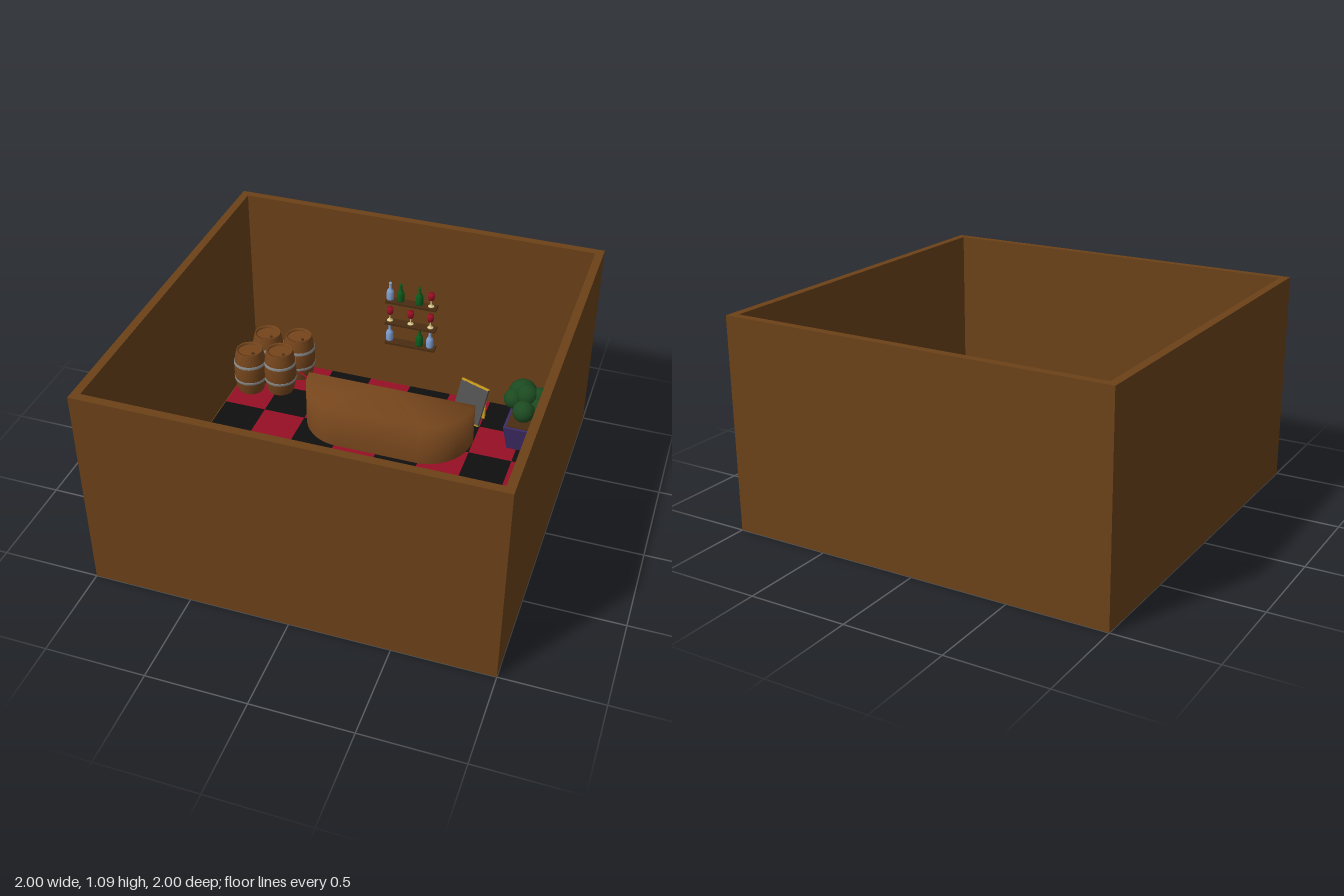
import * as THREE from 'three';

const mat = (color, extra = {}) => new THREE.MeshStandardMaterial({ color, ...extra });
const wood = mat(0x6b4118), darkWood = mat(0x4a2d12), barrelWood = mat(0x75451c), steel = mat(0x8c8c8c);
const red = mat(0x960f24), black = mat(0x0f0f0f), green = mat(0x0c5a1c), blue = mat(0x7f9fd0);
const cream = mat(0xe0cf90), gold = mat(0xc99a1c), leaf = mat(0x1c4a20), purple = mat(0x3c2c66), slate = mat(0x4c4c4c);
const FLOOR = 0.02;

function add(parent, name, geometry, material, x = 0, y = 0, z = 0) {
  const mesh = new THREE.Mesh(geometry, material);
  mesh.name = name;
  mesh.position.set(x, y, z);
  parent.add(mesh);
  return mesh;
}
function group(parent, name, x = 0, y = 0, z = 0) {
  const g = new THREE.Group();
  g.name = name;
  g.position.set(x, y, z);
  parent.add(g);
  return g;
}
const box = (w, h, d) => new THREE.BoxGeometry(w, h, d);
const lathe = (pts, n = 16) => new THREE.LatheGeometry(pts.map(p => new THREE.Vector2(...p)), n);

function buildRoom(parent) {
  const room = group(parent, 'room');
  add(room, 'floorBase', box(2, 0.014, 2), wood, 0, 0.007, 0);
  for (const s of [-1, 1]) {
    add(room, 'sideWall', box(0.042, 1.085, 2), wood, s * 0.979, 0.5425, 0);
    add(room, 'endWall', box(1.916, 1.085, 0.042), wood, 0, 0.5425, s * 0.979);
  }
  // Checkered floor, 8 by 8
  const t = 0.2375, tile = box(t, 0.006, t);
  for (let r = 0; r < 8; r++) for (let c = 0; c < 8; c++) {
    add(room, 'floorTile', tile, (r + c) % 2 ? red : black, (c - 3.5) * t, 0.017, (r - 3.5) * t);
  }
}

function buildBarrel(parent, x, z) {
  const barrel = group(parent, 'barrel', x, FLOOR, z);
  const h = 0.265, radius = y => 0.074 + 0.018 * (1 - (2 * y / h - 1) ** 2);
  const staves = [];
  for (let i = 0; i <= 8; i++) staves.push([radius(h * i / 8), h * i / 8]);
  add(barrel, 'staves', lathe(staves, 20), barrelWood);
  // Raised rim around a sunken lid
  add(barrel, 'rim', lathe([[0.074, h], [0.064, h], [0.064, h - 0.014]], 20), barrelWood);
  add(barrel, 'lid', new THREE.CylinderGeometry(0.066, 0.066, 0.006, 20), barrelWood, 0, h - 0.016, 0);
  add(barrel, 'bung', new THREE.CylinderGeometry(0.008, 0.008, 0.008, 10), darkWood, 0.03, h - 0.011, 0.02);
  for (const y of [0.075, 0.18]) {
    const a = radius(y) + 0.003, b = radius(y + 0.016) + 0.003;
    add(barrel, 'hoop', lathe([[a - 0.004, y], [a, y], [b, y + 0.016], [b - 0.004, y + 0.016]], 20), steel);
  }
}

// Half-round bar counter with softly shaded top
function buildCounter(parent) {
  const counter = group(parent, 'barCounter');
  const top = 0.27, back = -0.57, depth = 0.273, n = 12, edge = [];
  for (const s of [-1, 1]) for (let i = 0; i <= n; i++) {
    const a = (s < 0 ? i : n - i) / n * Math.PI / 2;
    edge.push([s * (0.225 + 0.25 * Math.cos(a)), back + depth * Math.sin(a)]);
  }
  const pos = [0, top, back], index = [];
  for (const [x, z] of edge) pos.push(x, top, z, x, FLOOR, z);
  for (let i = 0; i < edge.length - 1; i++) {
    const a = 1 + 2 * i;
    index.push(0, a, a + 2, a, a + 1, a + 2, a + 1, a + 3, a + 2);
  }
  const geo = new THREE.BufferGeometry();
  geo.setAttribute('position', new THREE.Float32BufferAttribute(pos, 3));
  geo.setIndex(index);
  geo.computeVertexNormals();
  add(counter, 'counterBody', geo, mat(0x75451c, { side: THREE.DoubleSide }));
  const rear = add(counter, 'counterBack', new THREE.PlaneGeometry(0.95, top - FLOOR), wood, 0, (top + FLOOR) / 2, back);
  rear.rotation.y = Math.PI;
}

const bottleGeo = lathe([[0, 0], [0.019, 0], [0.021, 0.006], [0.021, 0.045], [0.016, 0.06], [0.008, 0.07], [0.007, 0.098], [0.009, 0.1], [0.009, 0.106], [0, 0.106]]);
const stemGeo = lathe([[0, 0], [0.018, 0], [0.016, 0.004], [0.004, 0.008], [0.004, 0.035], [0.01, 0.04]]);
const bowlGeo = lathe([[0.004, 0.036], [0.015, 0.045], [0.019, 0.062], [0.017, 0.082], [0, 0.08]]);
function buildGoblet(parent, x, y, z) {
  const g = group(parent, 'goblet', x, y, z);
  add(g, 'gobletStem', stemGeo, cream);
  add(g, 'gobletBowl', bowlGeo, red);
  return g;
}

// Wall shelf with three rows of bottles and goblets
function buildShelf(parent) {
  const shelf = group(parent, 'bottleShelf', 0, 0, -0.935);
  const rows = [
    [0.33, [[-0.125, blue], [0.05, green], [0.11, blue]]],
    [0.46, [[-0.125, null], [-0.005, null], [0.11, null]]],
    [0.6, [[-0.125, blue], [-0.065, green], [0.043, green], [0.11, null]]],
  ];
  for (const [y, items] of rows) {
    add(shelf, 'plank', box(0.29, 0.012, 0.066), darkWood, 0, y - 0.006, 0);
    for (const [x, material] of items) {
      if (material) add(shelf, 'bottle', bottleGeo, material, x, y, 0);
      else buildGoblet(shelf, x, y, 0);
    }
  }
}

function buildPlant(parent) {
  const plant = group(parent, 'pottedPlant', 0.73, FLOOR, -0.65);
  const pot = add(plant, 'pot', new THREE.CylinderGeometry(0.134, 0.1, 0.15, 4), purple, 0, 0.075, 0);
  pot.rotation.y = Math.PI / 4;
  pot.material = mat(0x3c2c66, { flatShading: true });
  add(plant, 'soil', box(0.16, 0.006, 0.16), darkWood, 0, 0.152, 0);
  add(plant, 'trunk', new THREE.CylinderGeometry(0.014, 0.018, 0.12, 8), wood, 0, 0.2, 0);
  const blobs = [[-0.03, 0.29, -0.055, 0.08], [0.065, 0.28, 0, 0.065], [-0.065, 0.29, 0.005, 0.055],
    [0.005, 0.27, 0.075, 0.06], [0.005, 0.33, 0.005, 0.06], [0.07, 0.33, -0.01, 0.045]];
  for (const [x, y, z, r] of blobs) add(plant, 'foliage', new THREE.SphereGeometry(r, 16, 12), leaf, x, y, z);
}

// Leaning slate board with gilded top edge
function buildBoard(parent) {
  const stand = group(parent, 'menuBoard', 0.4, FLOOR, -0.77);
  stand.rotation.y = -0.36;
  const board = group(stand, 'leaningBoard', 0, 0.11, 0);
  board.rotation.x = -0.4;
  add(board, 'slate', box(0.18, 0.21, 0.012), slate);
  for (const s of [-1, 1]) add(board, 'frameRail', box(0.18, 0.01, 0.016), gold, 0, s * 0.107, -0.002);
  add(stand, 'backLeg', box(0.14, 0.2, 0.01), gold, 0, 0.1, -0.05);
}

export function createModel() {
  const model = new THREE.Group();
  model.name = 'tavernRoom';
  buildRoom(model);
  for (const [x, z] of [[-0.83, -0.84], [-0.65, -0.87], [-0.7, -0.695], [-0.865, -0.65]]) buildBarrel(model, x, z);
  buildCounter(model);
  buildShelf(model);
  buildPlant(model);
  buildBoard(model);
  // Barrel tap beside the front cask
  const tap = group(model, 'barrelTap', -0.57, 0.1, -0.745);
  tap.rotation.y = -0.6;
  const pipe = add(tap, 'tapPipe', new THREE.CylinderGeometry(0.006, 0.006, 0.09, 8), red);
  pipe.rotation.z = Math.PI / 2;
  const spout = add(tap, 'tapSpout', new THREE.CylinderGeometry(0.01, 0.022, 0.035, 12), mat(0xcccccc), 0.045, 0, 0);
  spout.rotation.z = Math.PI / 2;
  return model;
}
